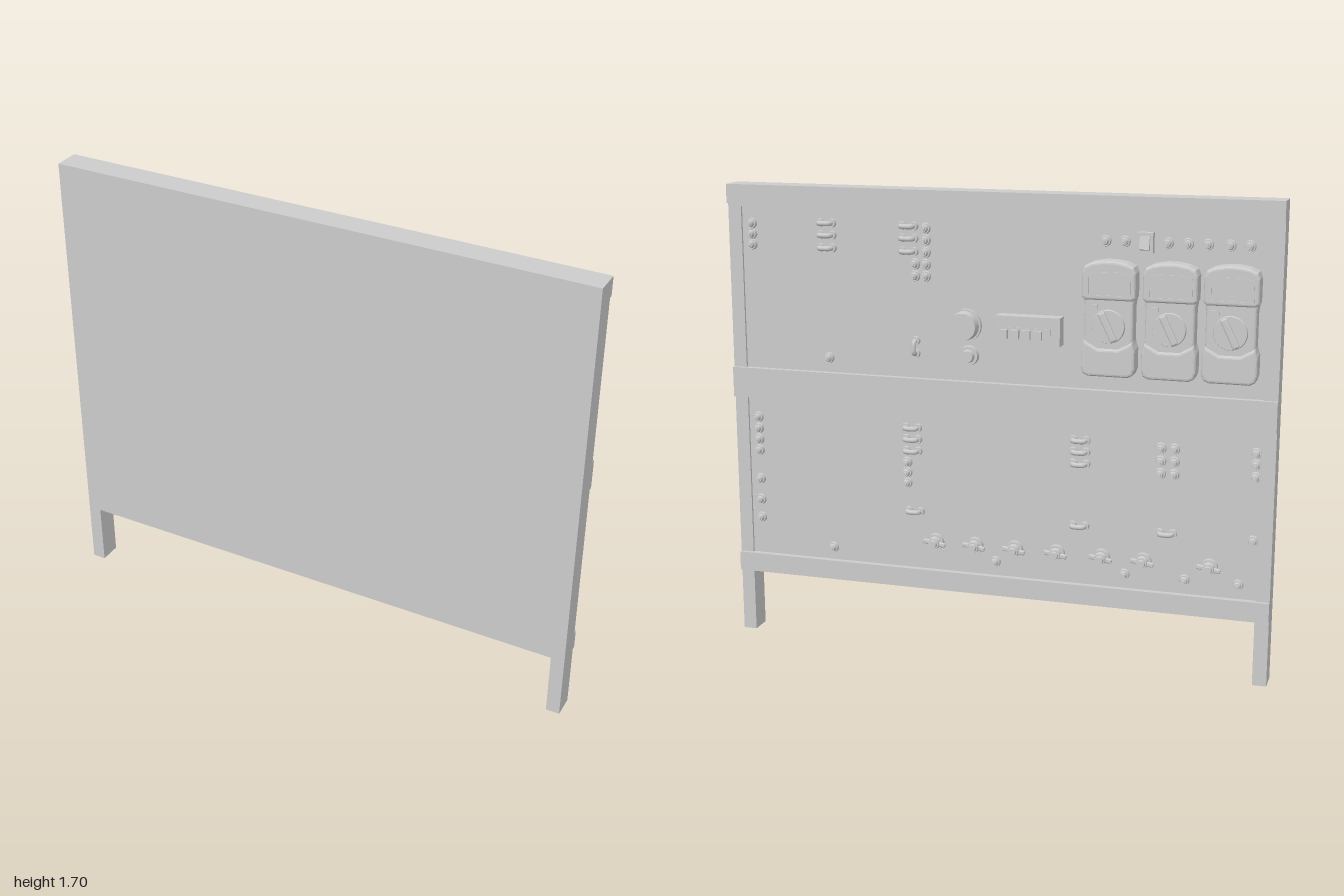
import * as THREE from 'three';
import { RoundedBoxGeometry } from 'three/addons/geometries/RoundedBoxGeometry.js';

const mat = new THREE.MeshStandardMaterial({ color: 0xcccccc });
const FACE = 0.004; // z of the instrument panel face, which looks towards -z

export function createModel() {
  const root = new THREE.Group();
  root.name = 'testBench';

  const add = (parent, name, geo, x = 0, y = 0, z = 0) => {
    const m = new THREE.Mesh(geo, mat);
    m.name = name;
    m.position.set(x, y, z);
    parent.add(m);
    return m;
  };
  const group = (name, x, y) => {
    const g = new THREE.Group();
    g.name = name;
    g.position.set(x, y, 0);
    root.add(g);
    return g;
  };
  // box and disc spanning a z range
  const slab = (parent, name, w, h, z0, z1, x, y) =>
    add(parent, name, new THREE.BoxGeometry(w, h, z1 - z0), x, y, (z0 + z1) / 2);
  const disc = (parent, name, rBack, rFront, z0, z1, x = 0, y = 0, n = 20) =>
    add(parent, name, new THREE.CylinderGeometry(rFront, rBack, z1 - z0, n).rotateX(Math.PI / 2), x, y, (z0 + z1) / 2);

  // board, posts with legs, and cross rails
  slab(root, 'panel', 1.9, 1.458, FACE, 0.077, 0, 0.967);
  for (const s of [-1, 1]) slab(root, 'post', 0.05, 1.696, -0.005, 0.077, s * 0.975, 0.848);
  slab(root, 'topCap', 1.9, 0.08, -0.005, 0.077, 0, 1.656);
  for (const [y0, y1] of [[1.627, 1.696], [0.915, 1.025], [0.238, 0.31]])
    slab(root, 'rail', 2, y1 - y0, -0.018, FACE + 0.001, 0, (y0 + y1) / 2);

  // banana sockets: flange, collar and tip
  const socket = (x, y) => {
    const g = group('socket', x, y);
    disc(g, 'socketFlange', 0.018, 0.02, -0.008, FACE, 0, 0, 14);
    disc(g, 'socketCollar', 0.011, 0.014, -0.022, -0.008, 0, 0, 14);
    disc(g, 'socketTip', 0.006, 0.007, -0.028, -0.022, 0, 0, 10);
  };
  const column = (x, ys) => ys.forEach((y) => socket(x, y));
  column(0.913, [1.556, 1.518, 1.48, 0.838, 0.795, 0.753, 0.711, 0.6, 0.52, 0.45]);
  column(0.25, [1.561, 1.52, 1.477, 1.434, 1.392]);
  column(0.29, [1.434, 1.392]);
  column(0.329, [0.709, 0.671, 0.632]);
  column(-0.604, [0.832, 0.786, 0.741]);
  column(-0.651, [0.832, 0.786, 0.741]);
  column(-0.933, [0.838, 0.797, 0.753, 0.526]);
  column(0.624, [1.078, 0.358]);
  for (const x of [-0.007, -0.483, -0.698, -0.886]) socket(x, 0.362);
  for (const x of [-0.396, -0.463, -0.61, -0.678, -0.745, -0.82, -0.886]) socket(x, 1.542);

  // bridging links: two sockets joined by an arched strap
  const link = (x, y, turn = 0) => {
    const g = group('bridgingLink', x, y);
    g.rotation.z = turn;
    for (const s of [-1, 1]) disc(g, 'linkSocket', 0.015, 0.016, -0.01, FACE, s * 0.023, 0, 14);
    const path = new THREE.CatmullRomCurve3([[-0.024, -0.006], [-0.018, -0.021], [0, -0.024], [0.018, -0.021], [0.024, -0.006]]
      .map(([px, pz]) => new THREE.Vector3(px, 0, pz)));
    add(g, 'linkStrap', new THREE.TubeGeometry(path, 14, 0.009, 8));
  };
  for (const y of [1.567, 1.524, 1.478]) { link(0.624, y); link(0.315, y); }
  for (const y of [0.84, 0.798, 0.754]) { link(0.309, y); link(-0.315, y); }
  for (const x of [0.302, -0.315, -0.63]) link(x, 0.527);
  link(0.289, 1.137, Math.PI / 2);

  // rotary selectors along the lower edge
  for (const x of [0.22, 0.07, -0.08, -0.235, -0.4, -0.55, -0.785]) {
    const g = group('selector', x, 0.417);
    disc(g, 'selectorPlate', 0.03, 0.031, -0.012, FACE);
    disc(g, 'selectorKnob', 0.02, 0.023, -0.032, -0.012);
    const bar = add(g, 'selectorPointer', new RoundedBoxGeometry(0.085, 0.017, 0.014, 2, 0.005), 0, 0, -0.019);
    bar.rotation.z = 0.15;
    disc(g, 'selectorCap', 0.013, 0.015, -0.042, -0.032);
  }

  // large and small round knobs
  disc(root, 'largeKnobSkirt', 0.058, 0.058, -0.012, FACE, 0.102, 1.226, 32);
  disc(root, 'largeKnob', 0.048, 0.052, -0.046, -0.012, 0.102, 1.226, 32);
  disc(root, 'smallKnobSkirt', 0.034, 0.036, -0.014, FACE, 0.09, 1.118, 24);
  disc(root, 'smallKnob', 0.021, 0.024, -0.032, -0.014, 0.09, 1.118, 24);

  // push-button unit
  slab(root, 'buttonBox', 0.23, 0.1, -0.048, FACE, -0.137, 1.225);
  slab(root, 'buttonStrip', 0.19, 0.046, -0.05, -0.048, -0.125, 1.213);
  for (let i = 0; i < 4; i++) slab(root, 'pushButton', 0.03, 0.032, -0.065, -0.05, -0.175 + i * 0.041, 1.213);

  // rocker switch
  slab(root, 'switchFrame', 0.054, 0.07, -0.022, FACE, -0.537, 1.542);
  add(root, 'switchRocker', new THREE.BoxGeometry(0.034, 0.046, 0.018), -0.537, 1.542, -0.025).rotation.x = 0.25;

  // rounded solid from half an outline, mirrored in x, bevelled on its edges
  const bevelled = (half, z0, z1) => {
    const b = 0.01;
    const mirrored = half.slice().reverse().map(([x, y]) => [-x, y]);
    const pts = [...half, ...mirrored].map(([x, y]) => new THREE.Vector2(x, y));
    const geo = new THREE.ExtrudeGeometry(new THREE.Shape(pts), {
      depth: z1 - z0 - 2 * b, bevelEnabled: true, bevelThickness: b, bevelSize: b, bevelOffset: -b, bevelSegments: 3,
    });
    return geo.translate(0, 0, z0 + b);
  };

  // handheld meters, origin at the dial centre
  const bodyHalf = [[0.02, -0.174], [0.07, -0.174], [0.087, -0.165], [0.094, -0.145], [0.094, -0.075],
    [0.085, -0.05], [0.085, 0.07], [0.09, 0.1], [0.09, 0.17], [0.08, 0.195], [0.03, 0.205]];
  const headHalf = [[0.03, 0.09], [0.082, 0.09], [0.093, 0.1], [0.093, 0.185], [0.085, 0.205], [0.06, 0.217], [0.02, 0.224]];
  const footHalf = [[0.02, -0.174], [0.07, -0.174], [0.087, -0.165], [0.094, -0.145], [0.094, -0.085],
    [0.086, -0.05], [0.07, -0.058], [0.035, -0.077]];
  for (const x of [-0.422, -0.632, -0.838]) {
    const g = group('meter', x, 1.257);
    add(g, 'meterBody', bevelled(bodyHalf, -0.05, FACE + 0.01));
    add(g, 'meterHead', bevelled(headHalf, -0.06, FACE + 0.01));
    add(g, 'meterFoot', bevelled(footHalf, -0.06, FACE + 0.01));
    // raised window frame around the display
    const frame = new THREE.Shape([[-0.076, 0.1], [0.076, 0.1], [0.076, 0.178], [0.04, 0.187], [-0.04, 0.187], [-0.076, 0.178]]
      .map((p) => new THREE.Vector2(...p)));
    frame.holes.push(new THREE.Path([[-0.067, 0.108], [-0.067, 0.17], [-0.04, 0.178], [0.04, 0.178], [0.067, 0.17], [0.067, 0.108]]
      .map((p) => new THREE.Vector2(...p))));
    add(g, 'displayFrame', new THREE.ExtrudeGeometry(frame, { depth: 0.006, bevelEnabled: false }), 0, 0, -0.064);
    slab(g, 'meterButton', 0.032, 0.016, -0.056, -0.045, 0.055, 0.067);
    disc(g, 'dial', 0.056, 0.06, -0.058, -0.045, 0, 0, 36);
    const grip = add(g, 'dialGrip', new RoundedBoxGeometry(0.024, 0.108, 0.018, 2, 0.006), 0, 0, -0.063);
    grip.rotation.z = -0.45;
  }
  return root;
}
